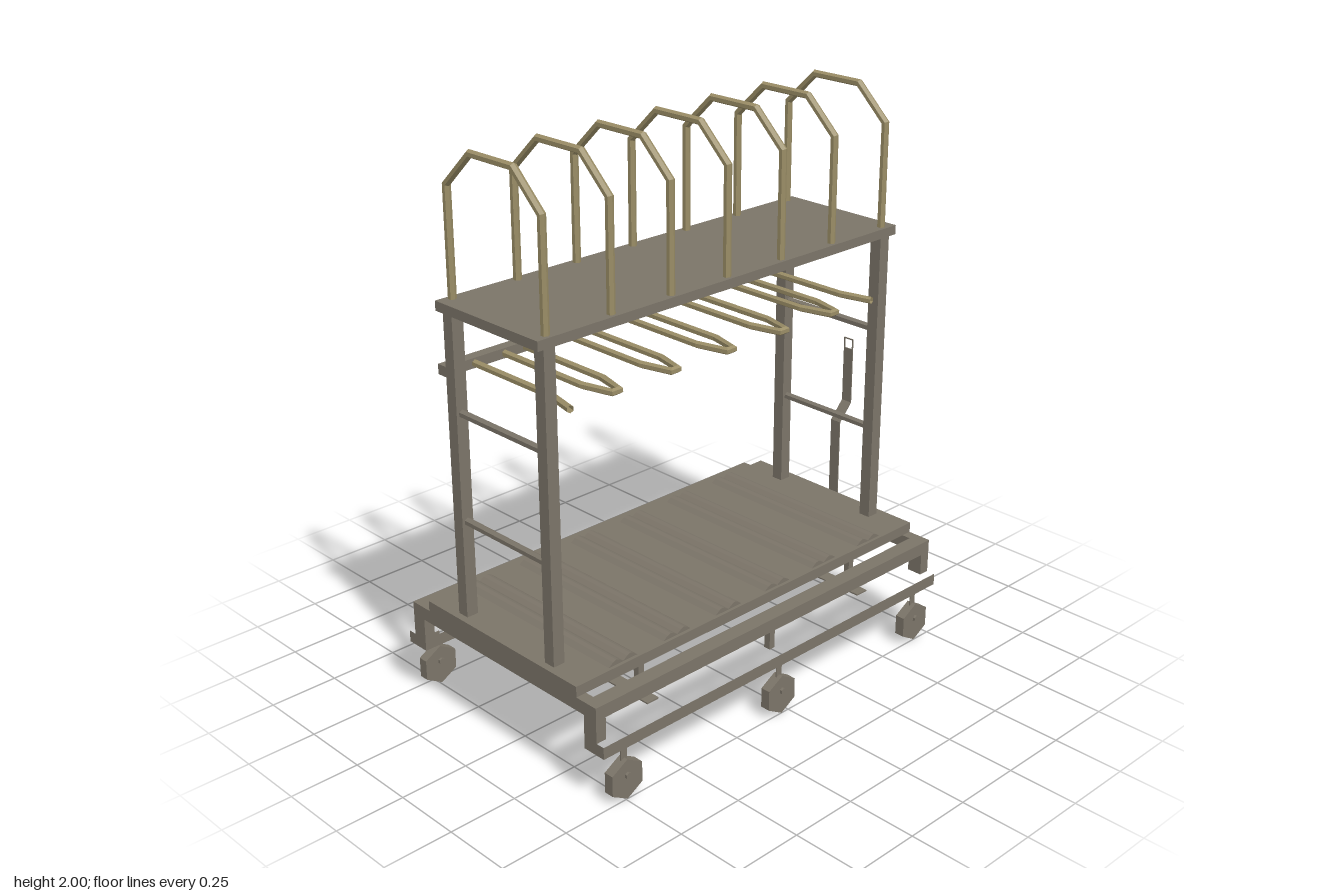
import * as THREE from 'three';

const frameGrey = new THREE.MeshStandardMaterial({ color: 0x7b7468, flatShading: true });
frameGrey.name = 'frame grey';
const hoopTan = new THREE.MeshStandardMaterial({ color: 0x9a8d66, flatShading: true, side: THREE.DoubleSide });
hoopTan.name = 'hoop tan';

const MID = -0.033; // centre of the cart body along x
const X0 = -0.84, X1 = 0.775;

// Path that visits each point in turn, with mitred corners
class Polyline extends THREE.Curve {
  constructor(points) {
    super();
    this.pts = points.map(p => new THREE.Vector3(...p));
  }
  getPointAt(u) {
    return this.pts[Math.round(u * (this.pts.length - 1))].clone();
  }
  getPoint(u) { return this.getPointAt(u); }
  getTangentAt(u) {
    const p = this.pts, i = Math.round(u * (p.length - 1));
    const t = new THREE.Vector3();
    if (i > 0) t.add(p[i].clone().sub(p[i - 1]).normalize());
    if (i < p.length - 1) t.add(p[i + 1].clone().sub(p[i]).normalize());
    return t.normalize();
  }
}

export function createModel() {
  const model = new THREE.Group();
  model.name = 'rackCart';

  const add = (name, geo, mat = frameGrey) => {
    const m = new THREE.Mesh(geo, mat);
    m.name = name;
    model.add(m);
    return m;
  };
  // Box given by its limits
  const box = (name, x0, x1, y0, y1, z0, z1) =>
    add(name, new THREE.BoxGeometry(x1 - x0, y1 - y0, z1 - z0)
      .translate((x0 + x1) / 2, (y0 + y1) / 2, (z0 + z1) / 2));
  const sideBox = (name, x0, x1, y0, y1, z0, z1) => {
    box(name, x0, x1, y0, y1, z0, z1);
    box(name, x0, x1, y0, y1, -z1, -z0);
  };
  const pipe = (name, pts, r) =>
    add(name, new THREE.TubeGeometry(new Polyline(pts), pts.length - 1, r, 6, false), hoopTan);

  // Deck and its ridged strips
  box('deck', X0, X1, 0.36, 0.398, -0.377, 0.377);
  for (let i = 0; i < 6; i++) {
    const x = -0.695 + i * 0.237;
    const s = new THREE.Shape();
    s.moveTo(x, 0.397);
    [[0.02, 0.411], [0.033, 0.416], [0.046, 0.411], [0.063, 0.4],
      [0.08, 0.411], [0.093, 0.416], [0.106, 0.411], [0.125, 0.397]].forEach(([dx, y]) => s.lineTo(x + dx, y));
    add('deckRidge', new THREE.ExtrudeGeometry(s, { depth: 0.73, bevelEnabled: false }).translate(0, 0, -0.365));
  }

  // Upper chassis frame
  sideBox('upperRail', X0, X1, 0.313, 0.36, 0.41, 0.467);
  for (const x of [X0, X1 - 0.04]) {
    box('endRail', x, x + 0.04, 0.313, 0.36, -0.41, 0.41);
    sideBox('cornerBlock', x, x + 0.04, 0.233, 0.313, 0.41, 0.467);
  }
  sideBox('middleBlock', MID - 0.012, MID + 0.012, 0.233, 0.313, 0.425, 0.45);

  // Lower rails: channels open at the top
  for (const s of [-1, 1]) {
    const g = new THREE.BoxGeometry(X1 - X0, 0.043, 0.09);
    const idx = Array.from(g.index.array);
    idx.splice(12, 6);
    g.setIndex(idx);
    g.clearGroups();
    add('lowerRail', g.translate((X0 + X1) / 2, 0.2125, s * 0.455));
  }

  // Flat cross straps with short struts up to the deck
  for (const x of [-0.547, 0.476]) {
    box('crossStrap', x - 0.025, x + 0.025, 0.232, 0.237, -0.41, 0.41);
    sideBox('strut', x - 0.012, x + 0.012, 0.235, 0.36, 0.333, 0.355);
  }

  // Casters
  for (const x of [-0.743, MID, 0.674]) for (const s of [-1, 1]) {
    add('casterStem', new THREE.BoxGeometry(0.025, 0.1, 0.004).translate(x, 0.145, s * 0.483));
    const wheel = add('casterWheel', new THREE.CylinderGeometry(0.073, 0.073, 0.036, 6));
    wheel.rotation.x = Math.PI / 2;
    wheel.position.set(x, 0.074, s * 0.482);
    const axle = add('casterAxle', new THREE.CylinderGeometry(0.012, 0.012, 0.054, 6));
    axle.rotation.x = Math.PI / 2;
    axle.position.set(x, 0.09, s * 0.482);
  }

  // Corner posts and ladder rungs
  for (const x of [-0.793, 0.722]) {
    sideBox('post', x - 0.022, x + 0.022, 0.39, 1.475, 0.198, 0.242);
    for (const y of [0.745, 1.125]) {
      const rung = add('rung', new THREE.CylinderGeometry(0.014, 0.014, 0.4, 6));
      rung.rotation.x = Math.PI / 2;
      rung.position.set(x, y, 0);
    }
  }

  // Top shelf
  box('topShelf', X0, X1, 1.47, 1.503, -0.245, 0.245);

  // Divider hoops on the shelf
  for (const x of [-0.79, -0.531, -0.282, -0.034, 0.217, 0.465, 0.723]) {
    pipe('dividerHoop', [[x, 1.5, 0.222], [x, 1.87, 0.222], [x, 1.986, 0.1],
      [x, 1.986, -0.1], [x, 1.87, -0.222], [x, 1.5, -0.222]], 0.014);
  }

  // Back bar with hanging hooks
  const y = 1.257;
  box('hookBar', -0.813, 0.743, 1.24, 1.275, -0.285, -0.245);
  for (const x of [-0.533, -0.284, -0.034, 0.216, 0.465]) {
    pipe('hook', [[x - 0.043, y, -0.26], [x - 0.043, y, 0.13], [x - 0.015, y, 0.24],
      [x + 0.015, y, 0.24], [x + 0.043, y, 0.13], [x + 0.043, y, -0.26]], 0.013);
  }
  for (const [x, s] of [[-0.698, -1], [0.627, 1]]) {
    pipe('endHook', [[x, y, -0.26], [x, y, 0.13], [x + s * 0.028, y, 0.25]], 0.013);
  }

  // Cranked brake lever, a thin plate with an open loop at its tip
  const lever = new THREE.Shape();
  [[0.776, 0.36], [0.78, 0.36], [0.78, 0.684], [0.838, 0.748], [0.838, 0.96],
    [0.834, 0.96], [0.834, 0.75], [0.776, 0.686]].forEach(([a, b], i) =>
    i ? lever.lineTo(a, b) : lever.moveTo(a, b));
  add('lever', new THREE.ExtrudeGeometry(lever, { depth: 0.042, bevelEnabled: false }).translate(0, 0, -0.021));
  sideBox('leverLoop', 0.834, 0.838, 0.96, 1.0, 0.017, 0.021);
  box('leverLoopTop', 0.834, 0.838, 0.996, 1.0, -0.017, 0.017);

  return model;
}
